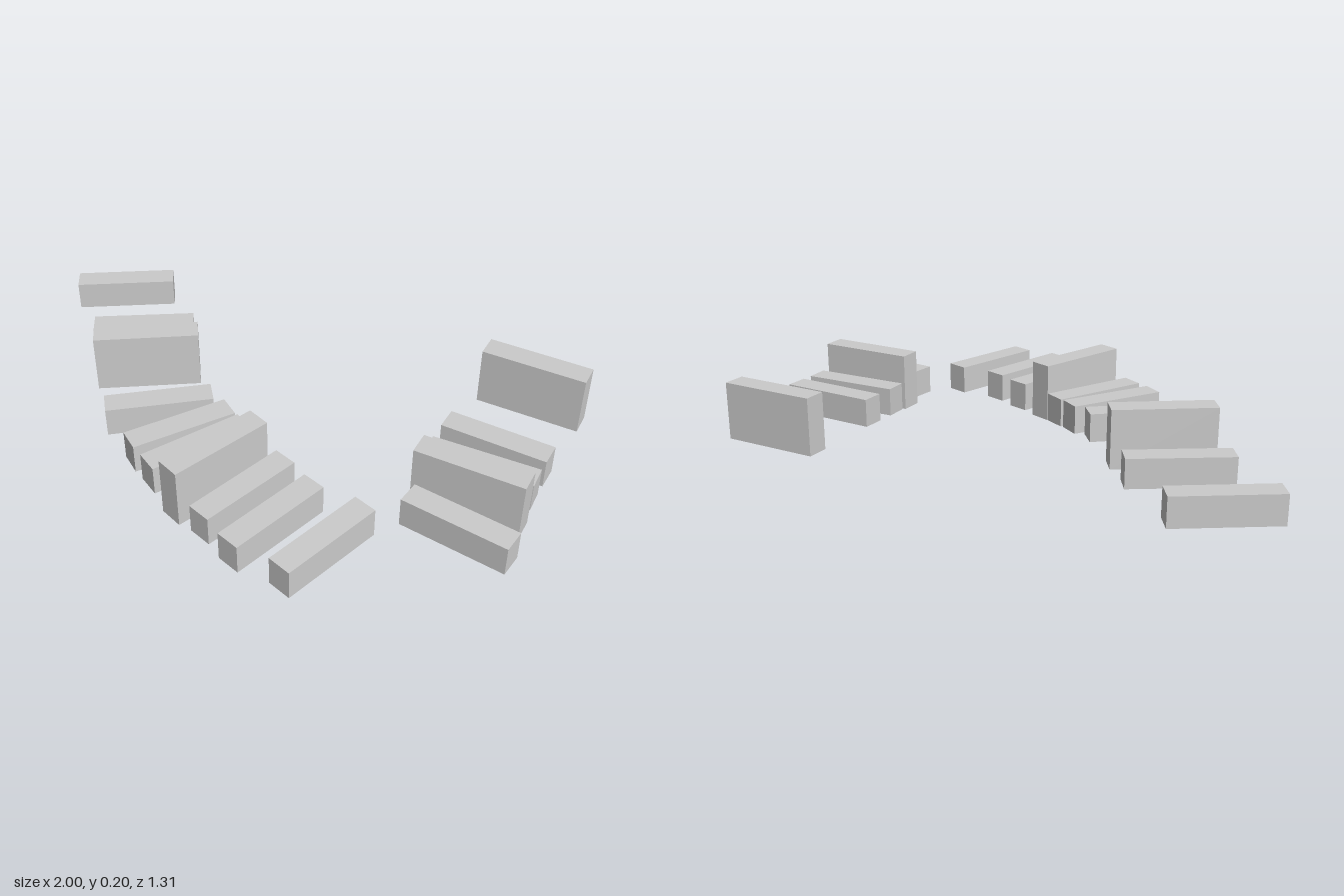
import * as THREE from 'three';

const LENGTH = 0.35, WIDTH = 0.08;

// Thin block shell, open underneath, spanning y0..y1
function blockGeometry(y0, y1) {
  const g = new THREE.BoxGeometry(LENGTH, y1 - y0, WIDTH);
  const idx = Array.from(g.index.array);
  idx.splice(18, 6); // drop the bottom face
  g.setIndex(idx);
  g.clearGroups();
  g.translate(0, (y0 + y1) / 2, 0);
  return g;
}

export function createModel() {
  const group = new THREE.Group();
  group.name = 'curvedBlockRow';
  const material = new THREE.MeshStandardMaterial({ color: 0xcccccc, side: THREE.DoubleSide });
  const low = blockGeometry(0.01, 0.11);
  const tall = blockGeometry(0, 0.203);

  // x, z, heading in degrees, tall?
  const blocks = [
    [-0.861, 0.073, 52.2, 0],
    [-0.584, 0.192, 51.8, 0],
    [-0.42, 0.294, 53.1, 1],
    [-0.202, 0.41, 58.4, 0],
    [-0.053, 0.437, 76.7, 0],
    [0.051, 0.452, 82, 0],
    [0.176, 0.477, 90, 1],
    [0.297, 0.468, 92.6, 0],
    [0.437, 0.476, 93, 0],
    [0.607, 0.43, 92.6, 0],
    [0.818, 0.088, 13, 0],
    [0.751, -0.035, 19.8, 1],
    [0.703, -0.142, 21.9, 0],
    [0.66, -0.265, 18.1, 0],
    [0.564, -0.561, 19.7, 1],
  ];
  blocks.forEach(([x, z, deg, isTall], i) => {
    const block = new THREE.Mesh(isTall ? tall : low, material);
    block.name = (isTall ? 'tallBlock' : 'lowBlock') + (i + 1);
    block.position.set(x, 0, z);
    block.rotation.y = THREE.MathUtils.degToRad(deg);
    group.add(block);
  });
  return group;
}
